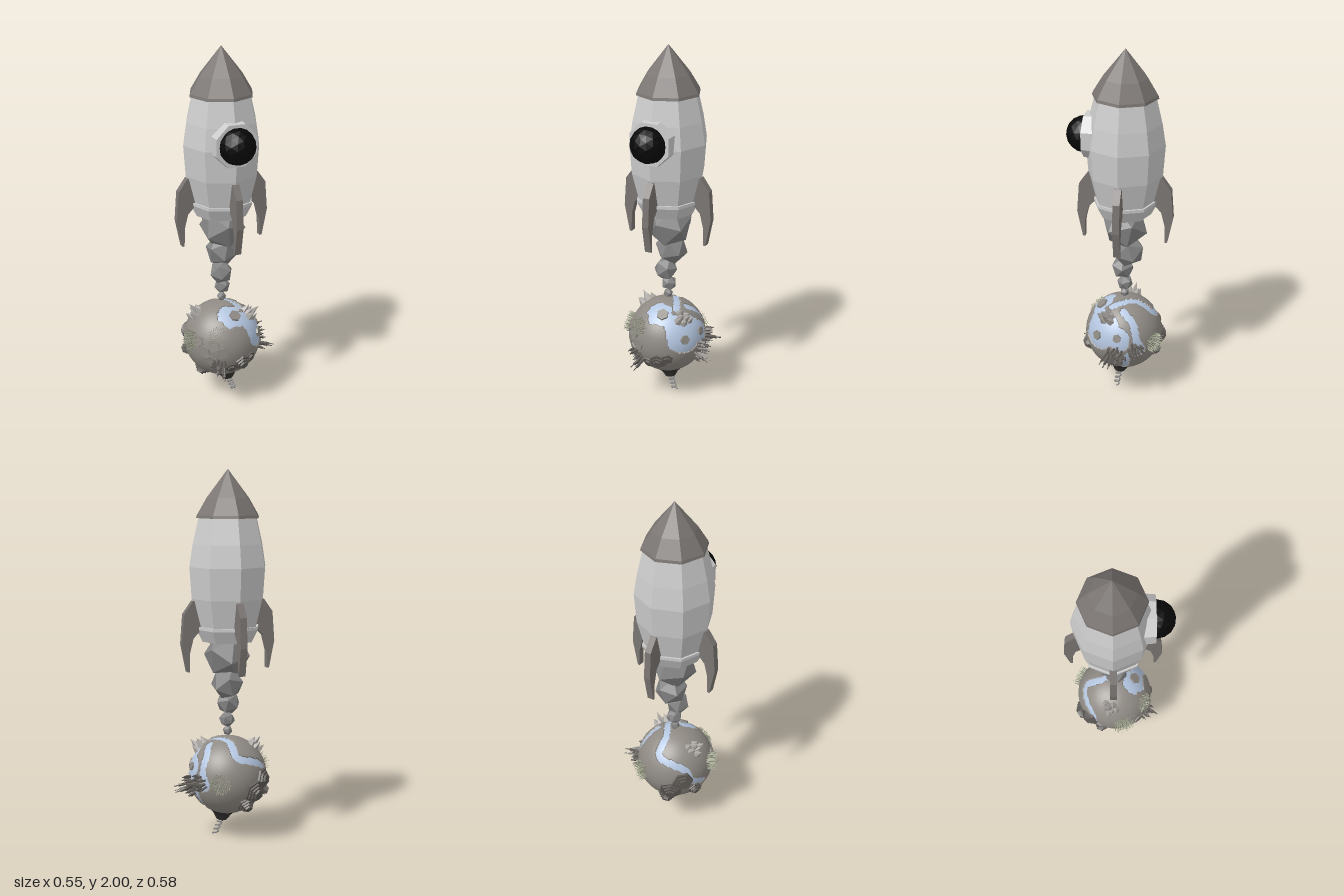
import * as THREE from 'three';
import { mergeGeometries } from 'three/addons/utils/BufferGeometryUtils.js';

const mat = (color) => new THREE.MeshStandardMaterial({ color, flatShading: true });
const M = {
  hull: mat(0xcccccc), trim: mat(0x7a7572), smoke: mat(0x858585), glass: mat(0x080808),
  land: mat(0x8f8a84), dark: mat(0x5f5b57), rock: mat(0xa8a4a0), lava: mat(0x353332),
  grass: mat(0x9a9f88), water: new THREE.MeshStandardMaterial({ color: 0xb4c6e0 }),
};
const UP = new THREE.Vector3(0, 1, 0);
const V = (a) => new THREE.Vector3(...a);

let seed = 7;
const rnd = () => (seed = (seed * 16807) % 2147483647) / 2147483647;

function add(parent, name, geometry, material) {
  const mesh = new THREE.Mesh(geometry, material);
  mesh.name = name;
  parent.add(mesh);
  return mesh;
}
const lathe = (pts, sides) => new THREE.LatheGeometry(pts.map((p) => new THREE.Vector2(...p)), sides);

function makeRocket() {
  const g = new THREE.Group();
  g.name = 'rocket';
  add(g, 'hull', lathe([[0, 1.09], [0.14, 1.09], [0.172, 1.155], [0.172, 1.17], [0.165, 1.17], [0.202, 1.32],
    [0.214, 1.49], [0.195, 1.61], [0.162, 1.75]], 8), M.hull);
  add(g, 'tailBand', lathe([[0.142, 1.088], [0.176, 1.155], [0.176, 1.172], [0.165, 1.172]], 8), M.hull);
  add(g, 'noseCone', lathe([[0, 1.745], [0.176, 1.745], [0.172, 1.76], [0.118, 1.85], [0, 2]], 8), M.trim);

  // Round window with a bulging pane
  const ring = add(g, 'windowFrame', new THREE.CylinderGeometry(0.122, 0.128, 0.07, 8), M.hull);
  ring.geometry.rotateY(Math.PI / 8).rotateX(Math.PI / 2);
  ring.position.set(0, 1.523, 0.18);
  add(g, 'windowPane', new THREE.IcosahedronGeometry(0.098, 2), M.glass).position.set(0, 1.523, 0.218);

  // Four curved fins
  const s = new THREE.Shape([[0.17, 1.31], [0.2, 1.31], [0.25, 1.24], [0.262, 1.08], [0.232, 0.93],
    [0.22, 0.93], [0.218, 1.03], [0.198, 1.11], [0.15, 1.16]].map((p) => new THREE.Vector2(...p)));
  const finGeo = new THREE.ExtrudeGeometry(s, { depth: 0.037, bevelEnabled: false }).translate(0, 0, -0.0185);
  for (let i = 0; i < 4; i++) add(g, 'fin', finGeo, M.trim).rotation.y = i * Math.PI / 2;

  // Exhaust puffs shrinking downwards: x, y, z, radius
  [[0.005, 1.01, 0, 0.128], [0.01, 0.86, -0.02, 0.092], [-0.008, 0.745, 0.015, 0.067],
    [0.004, 0.655, 0, 0.045], [0, 0.592, 0.002, 0.027]].forEach(([x, y, z, r], i) => {
    const puff = add(g, 'exhaustPuff', new THREE.IcosahedronGeometry(r, 0), M.smoke);
    puff.position.set(x, y, z);
    puff.rotation.set(i * 0.9 + 0.3, i * 1.3, 0.2);
  });
  g.position.set(-0.013, 0, -0.026);
  return g;
}

const R = 0.215;
// Lakes: centre and angular radius
const lakes = [[[0.16, 0.09, 0.11], 0.52], [[0.01, 0.18, 0.12], 0.34], [[0.19, 0.05, -0.01], 0.3]]
  .map(([c, w]) => [V(c).normalize(), w]);
// Rivers: points along the surface
const rivers = [
  [[0.08, 0.19, 0.05], [0.015, 0.2, -0.075], [0, 0.134, -0.17], [-0.07, 0.11, -0.17], [-0.154, 0.072, -0.132],
    [-0.18, 0, -0.11], [-0.207, -0.047, -0.033]],
  [[0.11, 0.18, -0.02], [0.15, 0.13, -0.08], [0.18, 0.044, -0.108], [0.166, -0.02, -0.135],
    [0.2, -0.055, -0.055], [0.17, -0.13, -0.04], [0.1, -0.19, 0.02], [0.037, -0.2, 0.07]],
].flatMap((pts) => new THREE.CatmullRomCurve3(pts.map(V)).getPoints(40).map((p) => p.normalize()));

const isWater = (d) => lakes.some(([c, w]) => d.angleTo(c) < w * (1 + 0.09 * Math.sin(d.x * 17 + d.z * 13)))
  || rivers.some((p) => p.dot(d) > Math.cos(0.095));

// Geometry standing on the sphere at direction d, its base at radius r
function standing(geo, d, r = R, spin = 0) {
  const q = new THREE.Quaternion().setFromUnitVectors(UP, d);
  return geo.rotateY(spin).translate(0, r, 0).applyQuaternion(q);
}
// Merge many small pieces around a direction
function scatter(parent, name, dir, spread, count, make, material) {
  const parts = [];
  const q = new THREE.Quaternion().setFromUnitVectors(UP, V(dir).normalize());
  for (let i = 0; i < count; i++) {
    const a = i * 2.4, r = spread * Math.sqrt((i + 0.5) / count);
    const d = new THREE.Vector3(Math.cos(a) * r, R, Math.sin(a) * r).applyQuaternion(q).normalize();
    parts.push(standing(make(i), d, R - 0.004, rnd() * 6));
  }
  add(parent, name, mergeGeometries(parts), material);
}
// Stepped pile of six-sided plates
function terrace(parent, dir, radius, steps, material, name = 'terrace') {
  const parts = [];
  for (let i = 0; i < steps; i++) {
    const r = radius * (1 - 0.75 * i / steps);
    parts.push(standing(new THREE.CylinderGeometry(r * 0.95, r, 0.02, 6), V(dir).normalize(), R - 0.006 + i * 0.011, 0.3 + i * 0.1));
  }
  add(parent, name, mergeGeometries(parts), material);
}

function makePlanet() {
  const g = new THREE.Group();
  g.name = 'planet';
  add(g, 'water', new THREE.SphereGeometry(0.21, 48, 32), M.water);

  // Land sinks beneath the water along lakes and rivers
  const land = new THREE.IcosahedronGeometry(1, 28);
  const p = land.attributes.position, d = new THREE.Vector3();
  for (let i = 0; i < p.count; i++) {
    d.fromBufferAttribute(p, i).normalize();
    const r = isWater(d) ? 0.203 : R;
    p.setXYZ(i, d.x * r, d.y * r, d.z * r);
  }
  land.computeVertexNormals();
  add(g, 'land', land, M.land);

  // Islands and flat plates
  [[[0.03, 0.175, 0.12], 0.035], [[0.2, 0.06, 0.0], 0.025], [[0.17, 0.05, 0.12], 0.028]]
    .forEach(([c, r]) => terrace(g, c, r, 1, M.land, 'island'));
  [[-0.16, 0, 0.14], [-0.12, 0.04, 0.17], [-0.13, -0.05, 0.16], [-0.18, 0.05, 0.1], [-0.08, 0, 0.2]]
    .forEach((c) => terrace(g, c, 0.036, 1, M.land, 'plate'));
  // Stepped hills
  [[[0.04, -0.08, 0.19], 0.05, 3], [[0.09, -0.06, 0.18], 0.035, 2], [[-0.02, -0.1, 0.18], 0.035, 2],
    [[-0.09, -0.06, -0.18], 0.07, 4], [[-0.05, -0.13, -0.16], 0.055, 4], [[-0.15, 0, -0.15], 0.06, 3],
    [[-0.13, -0.17, 0.02], 0.045, 3], [[-0.18, -0.08, -0.08], 0.04, 3]]
    .forEach(([c, r, n]) => terrace(g, c, r, n, M.dark));

  // Mountain groups: a main peak among smaller ones
  for (const c of [[0.135, 0.155, 0.07], [-0.145, 0.155, -0.03]]) {
    scatter(g, 'mountains', c, 0.04, 7, (i) => {
      const h = i === 0 ? 0.07 : 0.035 + 0.015 * rnd();
      return new THREE.ConeGeometry(0.024, h, 5).translate(0, h / 2, 0);
    }, M.rock);
  }
  // Grass fields
  for (const c of [[-0.2, 0.04, 0.05], [0.1, 0, -0.185], [-0.09, 0.09, 0.17]]) {
    const tall = c[1] < 0.08 ? 0.045 : 0.025;
    scatter(g, 'grass', c, 0.055, 80, () => {
      const h = tall * (0.7 + 0.4 * rnd());
      return new THREE.ConeGeometry(0.0035, h, 3).translate(0, h / 2, 0);
    }, M.grass);
  }
  // Towns, with a few tall towers
  [[[0.21, -0.05, 0.01], 0.06, 26], [[0.19, -0.01, -0.1], 0.045, 16], [[-0.09, -0.08, 0.18], 0.045, 16]].forEach(([c, spread, n]) => {
    scatter(g, 'town', c, spread, n, (i) => {
      const h = i % 8 === 3 ? 0.065 : 0.015 + 0.025 * rnd();
      const block = new THREE.BoxGeometry(0.011, h, 0.011).translate(0, h / 2, 0);
      const spire = new THREE.BoxGeometry(0.004, h * 0.4, 0.004).translate(0, h * 1.2, 0);
      return mergeGeometries([block, spire]);
    }, M.dark);
  });

  // Volcano at the underside with curling smoke
  const vd = V([0.025, -0.24, 0.018]).normalize();
  add(g, 'volcano', standing(lathe([[0.085, -0.02], [0.05, 0.012], [0.03, 0.045], [0.022, 0.045], [0.012, 0.025], [0, 0.025]], 9), vd), M.lava);
  const coil = [];
  for (let i = 0; i <= 40; i++) {
    const t = i / 40, a = t * Math.PI * 8;
    coil.push(new THREE.Vector3(0.026 + 0.035 * t + 0.014 * Math.cos(a), -0.25 - 0.088 * t, 0.02 + 0.012 * t + 0.014 * Math.sin(a)));
  }
  add(g, 'volcanoSmoke', new THREE.TubeGeometry(new THREE.CatmullRomCurve3(coil), 90, 0.0045, 5), M.smoke);
  g.position.set(-0.013, 0.345, -0.02);
  return g;
}

export function createModel() {
  seed = 7;
  const model = new THREE.Group();
  model.name = 'rocketOverPlanet';
  model.add(makeRocket(), makePlanet());
  return model;
}
